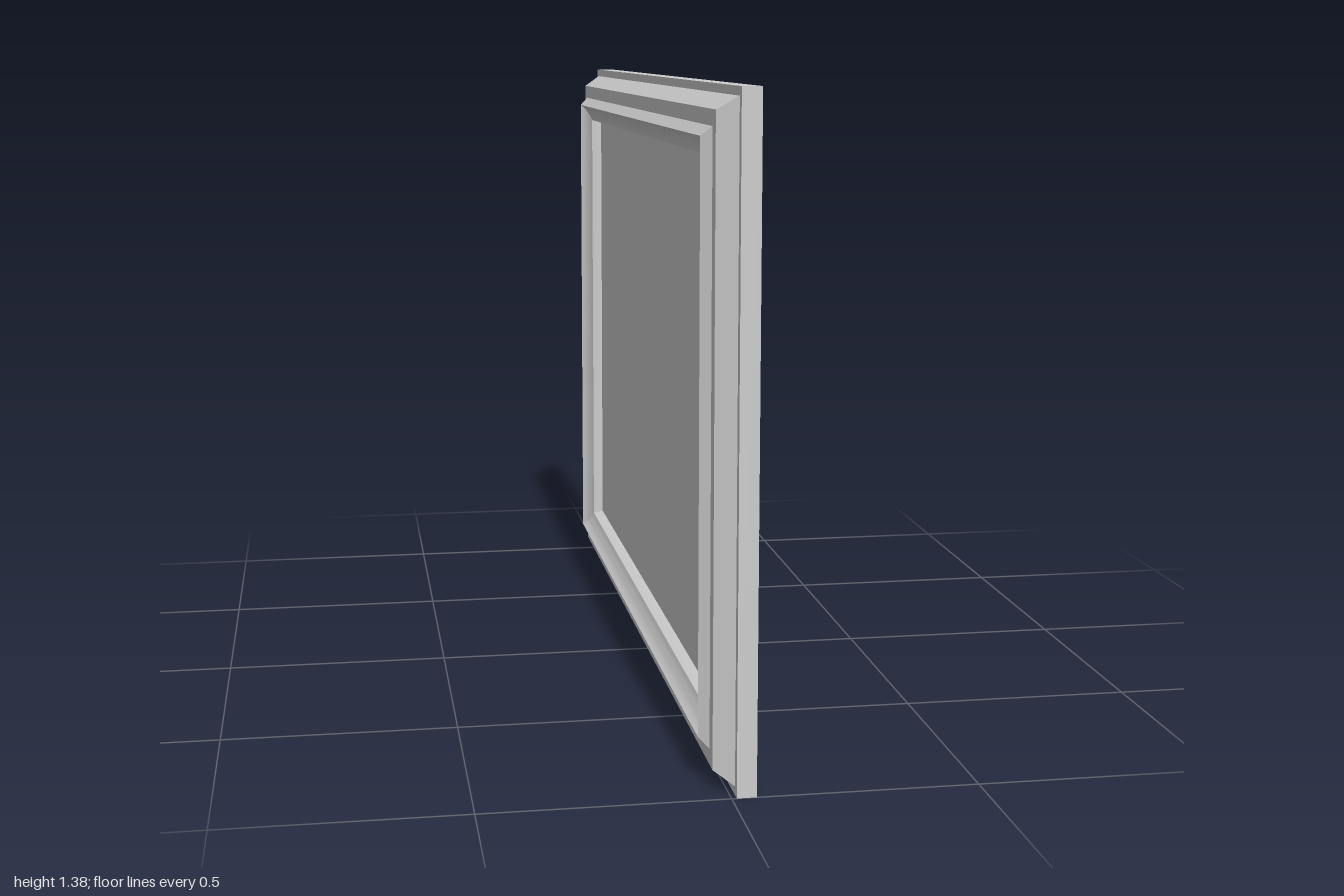
import * as THREE from 'three';
import { toCreasedNormals } from 'three/addons/utils/BufferGeometryUtils.js';

const WIDTH = 2, HEIGHT = 1.375;
const material = new THREE.MeshStandardMaterial({ color: 0xcccccc });

function addMesh(group, name, geometry) {
  const mesh = new THREE.Mesh(geometry, material);
  mesh.name = name;
  group.add(mesh);
  return mesh;
}

// Mitred rectangular moulding; profile points are [x, inset from the outer edge], outer to inner
function mitredRing(profile) {
  const corner = ([x, inset], k) => {
    const z = (k === 1 || k === 2 ? 1 : -1) * (WIDTH / 2 - inset);
    const y = k >= 2 ? HEIGHT - inset : inset;
    return [x, y, z];
  };
  const positions = [];
  for (let k = 0; k < 4; k++) {
    const next = (k + 1) % 4;
    for (let i = 0; i < profile.length - 1; i++) {
      const a = corner(profile[i], k), b = corner(profile[i], next);
      const c = corner(profile[i + 1], next), d = corner(profile[i + 1], k);
      positions.push(...a, ...b, ...c, ...a, ...c, ...d);
    }
  }
  const geometry = new THREE.BufferGeometry();
  geometry.setAttribute('position', new THREE.Float32BufferAttribute(positions, 3));
  return toCreasedNormals(geometry, 0.4);
}

export function createModel() {
  const frame = new THREE.Group();
  frame.name = 'pictureFrame';

  // Flat backing board
  const backing = addMesh(frame, 'backingBoard', new THREE.BoxGeometry(0.04, HEIGHT, WIDTH));
  backing.position.set(0.03, HEIGHT / 2, 0);

  // Sloped outer moulding with a flat step
  addMesh(frame, 'outerMoulding', mitredRing([[0.01, 0.018], [-0.03, 0.044], [-0.03, 0.076]]));

  // Raised inner lip: bevel, shallow cove, then the wall down to the picture
  const cove = new THREE.QuadraticBezierCurve(
    new THREE.Vector2(-0.05, 0.095),
    new THREE.Vector2(-0.032, 0.109),
    new THREE.Vector2(-0.024, 0.135)
  ).getPoints(6).map((p) => [p.x, p.y]);
  addMesh(frame, 'innerLip', mitredRing([[-0.03, 0.076], ...cove, [0, 0.142], [0.01, 0.142]]));

  // Picture panel recessed inside the lip
  const picture = addMesh(frame, 'picturePanel', new THREE.BoxGeometry(0.02, HEIGHT - 0.284, WIDTH - 0.284));
  picture.position.set(0.01, HEIGHT / 2, 0);

  return frame;
}
